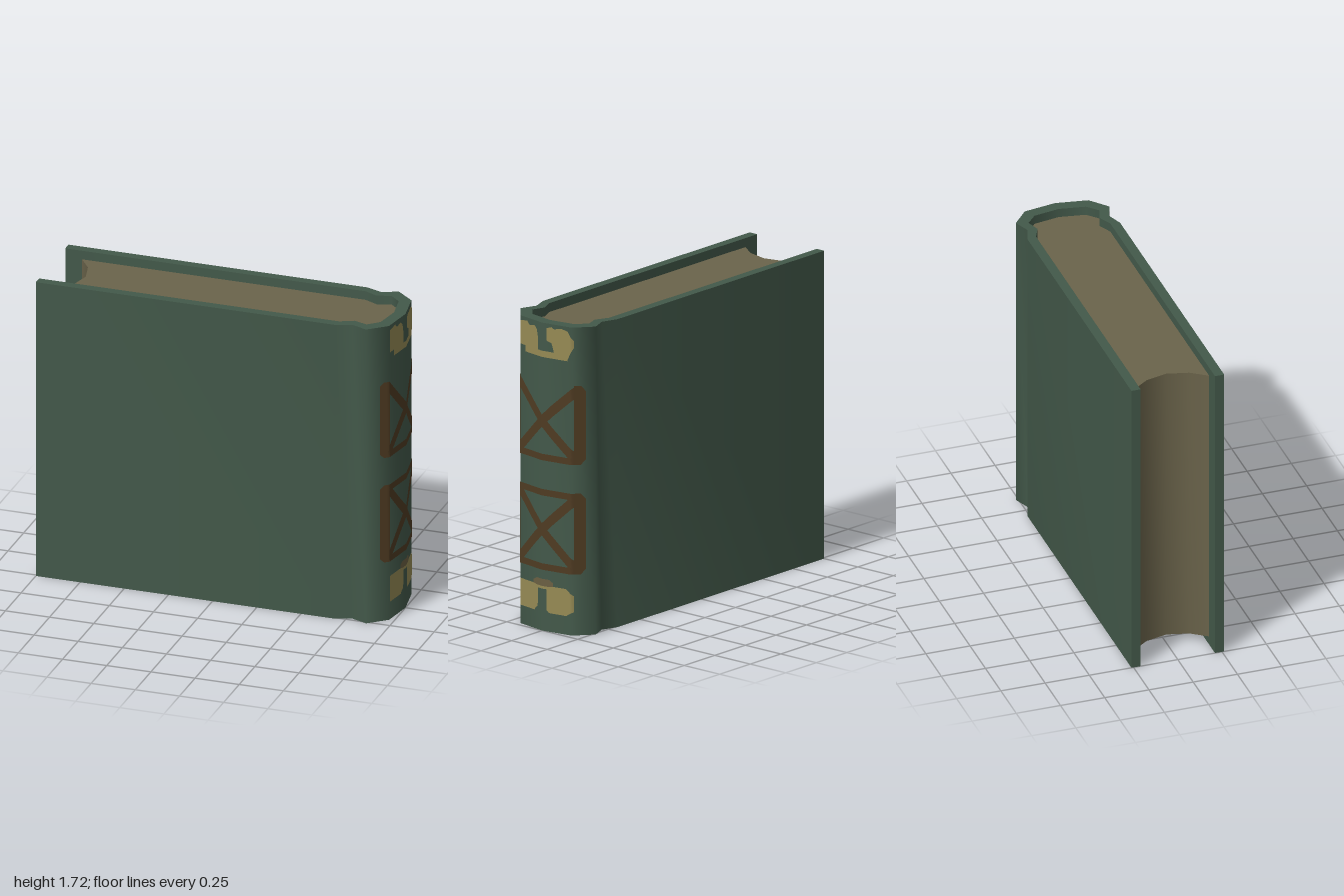
import * as THREE from 'three';
import { toCreasedNormals } from 'three/addons/utils/BufferGeometryUtils.js';

const HEIGHT = 1.715;
const material = (name, color, side = THREE.FrontSide) =>
  Object.assign(new THREE.MeshStandardMaterial({ color, side }), { name });

// Half profiles in plan, as [x, z], from the fore edge round to the spine
const OUTER = [[-1, 0.262], [0.69, 0.262], [0.78, 0.23], [0.87, 0.265], [0.97, 0.18], [1, 0]];
const INNER = [[-1, 0.21], [0.7, 0.21], [0.775, 0.175], [0.85, 0.2], [0.91, 0.145], [0.935, 0]];
const PAGES = [[-0.81, 0], [-0.84, 0.12], [-0.905, 0.21], ...INNER.slice(1)];

const mirrored = (half) => half.slice().reverse().filter((p) => p[1] > 0).map(([x, z]) => [x, -z]);

// Upright prism from a plan outline
function prism(outline, y0, y1, crease) {
  const shape = new THREE.Shape(outline.map(([x, z]) => new THREE.Vector2(x, z)));
  const geo = new THREE.ExtrudeGeometry(shape, { depth: y1 - y0, bevelEnabled: false });
  geo.rotateX(-Math.PI / 2).translate(0, y0, 0);
  return toCreasedNormals(geo, crease);
}

// Outer x of the spine at a given z
function spineX(z) {
  const a = Math.abs(z);
  return a < 0.18 ? 1 - (0.03 * a) / 0.18 : 0.97 - (0.1 * (a - 0.18)) / 0.085;
}

// Thin foil wrapped on the spine; columns are [z, low y, high y] with z falling
function foil(columns, lift = 0.004) {
  const pos = [], index = [];
  for (let c = 0; c < columns.length - 1; c++) {
    const a = columns[c], b = columns[c + 1];
    const n = Math.max(1, Math.ceil((a[0] - b[0]) / 0.01));
    for (let i = c ? 1 : 0; i <= n; i++) {
      const [z, lo, hi] = a.map((v, k) => v + ((b[k] - v) * i) / n);
      const x = spineX(z) + lift;
      pos.push(x, lo, z, x, hi, z);
    }
  }
  for (let i = 0; i < pos.length / 3 - 2; i += 2) index.push(i, i + 2, i + 1, i + 1, i + 2, i + 3);
  const geo = new THREE.BufferGeometry();
  geo.setAttribute('position', new THREE.Float32BufferAttribute(pos, 3));
  geo.setIndex(index);
  geo.computeVertexNormals();
  return geo;
}

export function createModel() {
  const book = new THREE.Group();
  book.name = 'book';
  const green = material('cover green', 0x43594a);
  const paper = material('aged paper', 0x6b644b);
  const brown = material('brown leather', 0x4f3b22, THREE.DoubleSide);
  const gold = material('old gold', 0x968a54, THREE.DoubleSide);
  const tan = material('faded gold', 0x6b6043, THREE.DoubleSide);

  const add = (parent, name, geo, mat) => {
    const mesh = new THREE.Mesh(geo, mat);
    mesh.name = name;
    parent.add(mesh);
  };
  const group = (name) => {
    const g = new THREE.Group();
    g.name = name;
    book.add(g);
    return g;
  };

  // Cover: boards, hinge grooves and rounded spine in one shell
  const shell = [...OUTER, ...mirrored(OUTER),
    ...mirrored(INNER).reverse(), ...INNER.slice().reverse()];
  add(book, 'cover', prism(shell, 0, HEIGHT, 1.2), green);

  // Page block with a hollow fore edge, set in from head and tail
  add(book, 'pages', prism([...PAGES, ...mirrored(PAGES)], 0.05, HEIGHT - 0.05, 0.7), paper);

  // Crossed panels on the spine
  function panel(name, y0, y1, hasTopBar) {
    const g = group(name), mid = (y0 + y1) / 2, t = 0.036;
    add(g, 'panelLeftBar', foil([[0.215, y0 + 0.02, y1 - 0.02], [0.2, y0, y1], [0.175, y0, y1]]), brown);
    add(g, 'panelRightBar', foil([[-0.19, y0, y1], [-0.215, y0, y1], [-0.232, y0 + 0.03, y1 - 0.03]]), brown);
    add(g, 'panelBottomBar', foil([[0.2, y0, y0 + t], [-0.21, y0, y0 + t]]), brown);
    if (hasTopBar) add(g, 'panelTopBar', foil([[0.2, y1 - t, y1], [-0.21, y1 - t, y1]]), brown);
    const r = (y1 - y0) / 2 - 0.035, w = 0.034;
    for (const s of [1, -1]) {
      add(g, 'panelCrossBar', foil([[0.18, mid + s * r - w, mid + s * r + w], [0.06, mid + s * 0.06 - w, mid + s * 0.06 + w],
        [-0.06, mid - s * 0.06 - w, mid - s * 0.06 + w], [-0.2, mid - s * r - w, mid - s * r + w]]), brown);
    }
  }
  panel('upperPanel', 0.95, 1.39, false);
  panel('lowerPanel', 0.34, 0.79, true);

  // Worn gilt ornament at the head: two lobes joined by a bar
  const head = group('headOrnament');
  add(head, 'headLeftLobe', foil([[0.175, 1.56, 1.69], [0.12, 1.56, 1.7], [0.1, 1.56, 1.68],
    [0.06, 1.56, 1.69], [0.04, 1.56, 1.67], [0.03, 1.56, 1.62]]), gold);
  add(head, 'headJoiningBar', foil([[0.135, 1.525, 1.56], [-0.16, 1.525, 1.56]]), gold);
  add(head, 'headRightLobe', foil([[-0.03, 1.62, 1.69], [-0.06, 1.61, 1.7], [-0.075, 1.56, 1.69],
    [-0.12, 1.56, 1.7], [-0.16, 1.535, 1.69], [-0.19, 1.6, 1.64]]), gold);

  // Worn gilt ornament at the tail: two blocks under a faded cap
  const tail = group('tailOrnament');
  add(tail, 'tailLeftBlock', foil([[0.175, 0.105, 0.255], [0.06, 0.105, 0.255], [0.05, 0.12, 0.255],
    [0.035, 0.13, 0.25], [0.03, 0.17, 0.25]]), gold);
  add(tail, 'tailBridge', foil([[0.03, 0.235, 0.255], [-0.03, 0.235, 0.255]]), gold);
  add(tail, 'tailRightBlock', foil([[-0.028, 0.12, 0.255], [-0.045, 0.105, 0.255], [-0.15, 0.105, 0.255],
    [-0.19, 0.13, 0.22]]), gold);
  add(tail, 'tailCap', foil([[0.065, 0.255, 0.275], [0.04, 0.25, 0.29], [-0.045, 0.25, 0.29],
    [-0.07, 0.255, 0.275]], 0.005), tan);
  return book;
}
